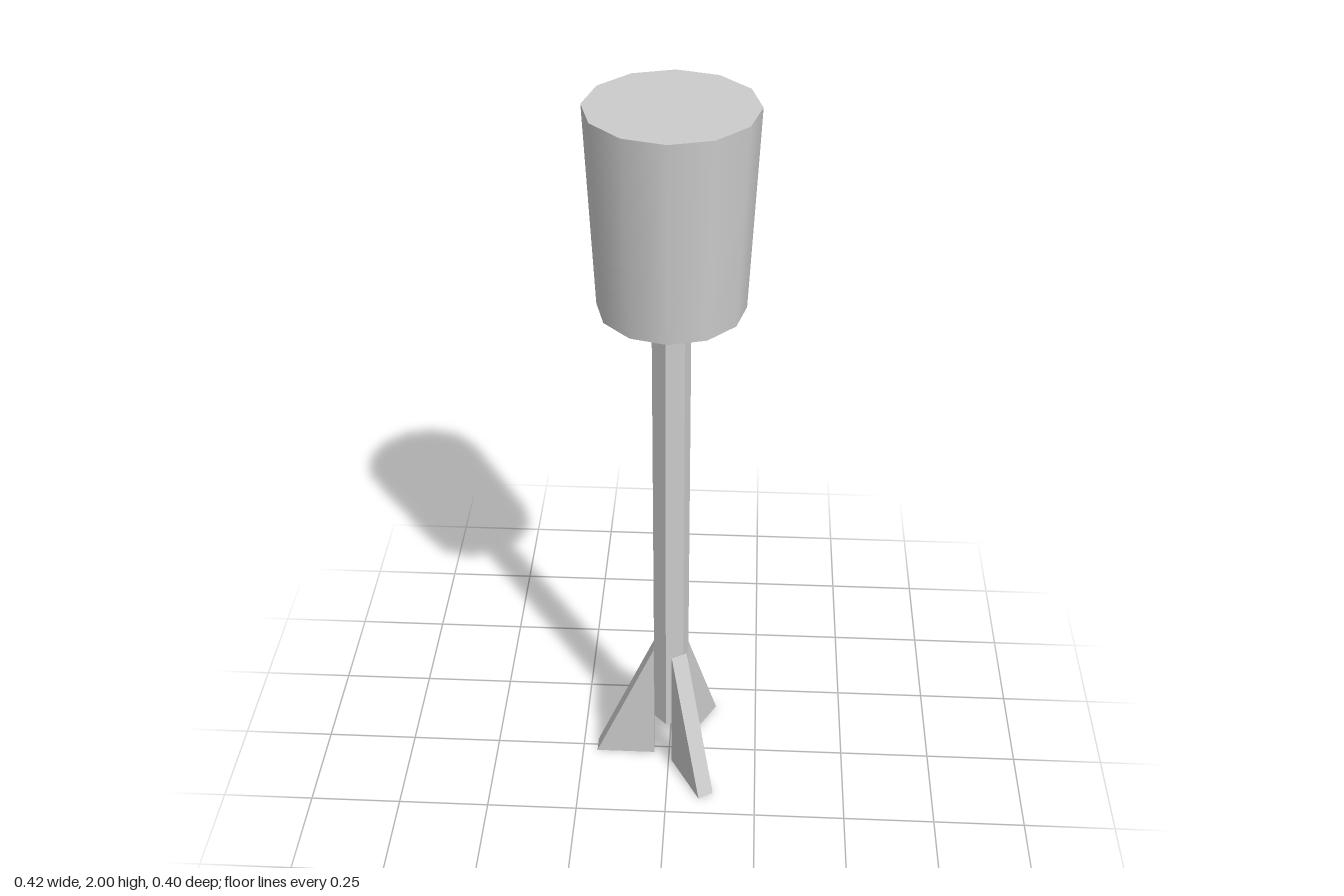
import * as THREE from 'three';

export function createModel() {
  const model = new THREE.Group();
  const axis = new THREE.Group();
  axis.name = 'body';
  axis.position.x = 0.005;
  model.add(axis);

  const grey = new THREE.MeshStandardMaterial({ color: 0xcccccc });
  grey.name = 'light grey';

  const add = (name, geometry, y = 0) => {
    const mesh = new THREE.Mesh(geometry, grey);
    mesh.name = name;
    mesh.position.y = y;
    axis.add(mesh);
    return mesh;
  };

  // Tapered twelve-sided head, smooth around its side
  const headBottom = 1.493, headTop = 2;
  add('head', new THREE.CylinderGeometry(0.202, 0.18, headTop - headBottom, 12), (headBottom + headTop) / 2);

  // Six-sided post with hard edges
  const postBottom = 0.14;
  const post = new THREE.CylinderGeometry(0.049, 0.049, headBottom - postBottom, 6, 1, false, Math.PI / 4).toNonIndexed();
  post.computeVertexNormals();
  add('post', post, (postBottom + headBottom) / 2);

  // Three triangular fins reaching below the post
  const thickness = 0.046;
  const profile = new THREE.Shape([
    new THREE.Vector2(0.048, 0),
    new THREE.Vector2(0.214, 0),
    new THREE.Vector2(0.048, 0.4),
  ]);
  const fin = new THREE.ExtrudeGeometry(profile, { depth: thickness, bevelEnabled: false });
  fin.translate(0, 0, -thickness / 2);
  for (let i = 0; i < 3; i++) {
    add('fin' + (i + 1), fin).rotation.y = Math.PI + (i * 2 * Math.PI) / 3;
  }

  return model;
}
